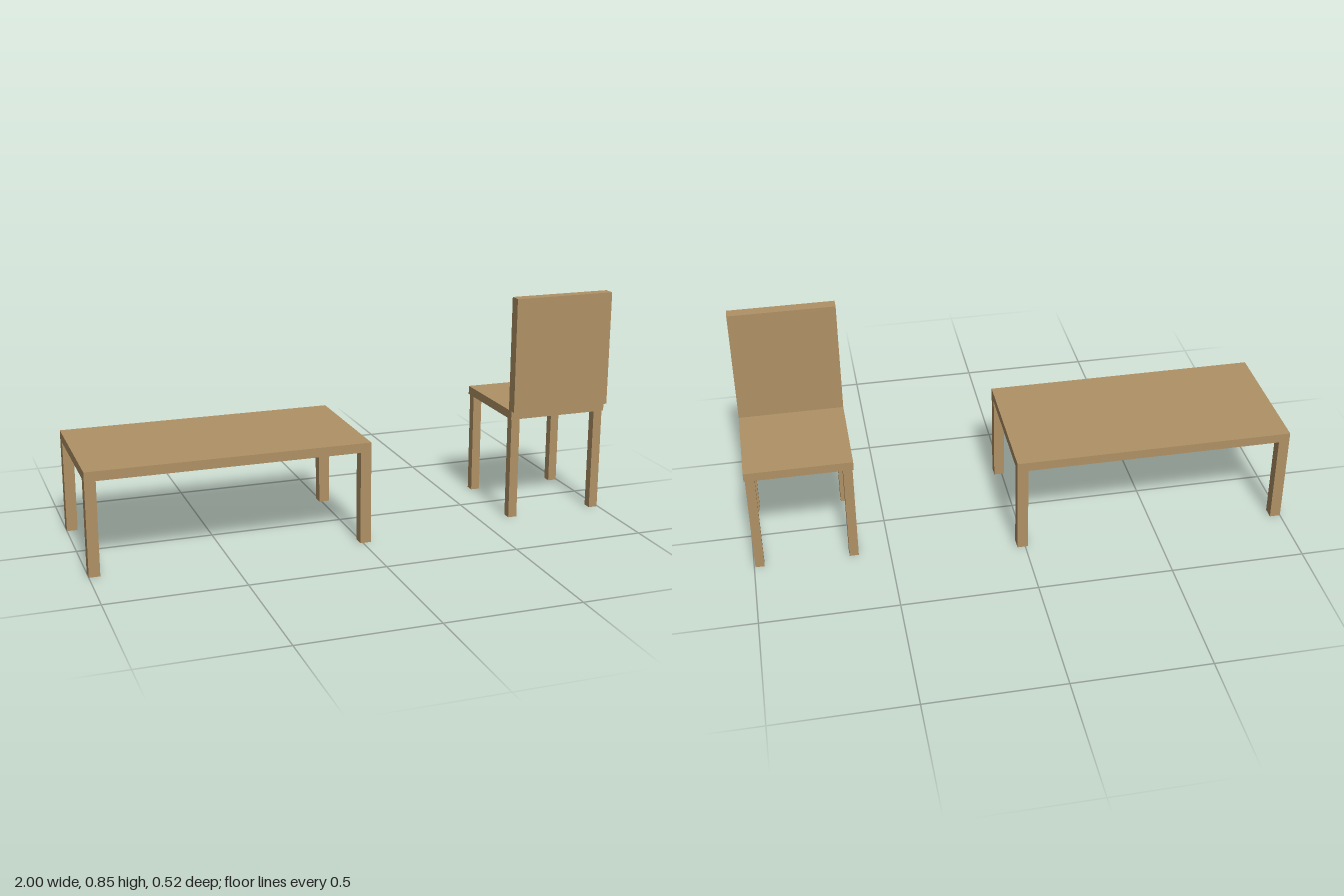
import * as THREE from 'three';

const wood = new THREE.MeshStandardMaterial({ color: 0xb09266 });

// Box given by its size and the centre of its underside
function box(name, w, h, d, x, y, z) {
  const mesh = new THREE.Mesh(new THREE.BoxGeometry(w, h, d), wood);
  mesh.name = name;
  mesh.position.set(x, y + h / 2, z);
  return mesh;
}

// Four legs mirrored about the group's centre
function addLegs(group, w, h, d, dx, dz) {
  for (const sx of [1, -1])
    for (const sz of [1, -1])
      group.add(box((sz > 0 ? 'front' : 'back') + (sx > 0 ? 'Left' : 'Right') + 'Leg', w, h, d, sx * dx, 0, sz * dz));
}

function createTable() {
  const table = new THREE.Group();
  table.name = 'table';
  table.add(box('tableTop', 1.03, 0.035, 0.518, 0, 0.345, 0));
  addLegs(table, 0.04, 0.345, 0.043, 0.495, 0.2375);
  table.position.x = -0.485;
  return table;
}

function createChair() {
  const chair = new THREE.Group();
  chair.name = 'chair';
  chair.add(box('seat', 0.388, 0.033, 0.388, 0, 0.39, 0));
  // Backrest stands on the +z edge and overhangs it slightly
  chair.add(box('backrest', 0.388, 0.431, 0.043, 0, 0.423, 0.194));
  addLegs(chair, 0.034, 0.39, 0.034, 0.173, 0.172);
  chair.position.x = 0.806;
  return chair;
}

export function createModel() {
  const model = new THREE.Group();
  model.name = 'tableAndChair';
  model.add(createTable(), createChair());
  return model;
}
